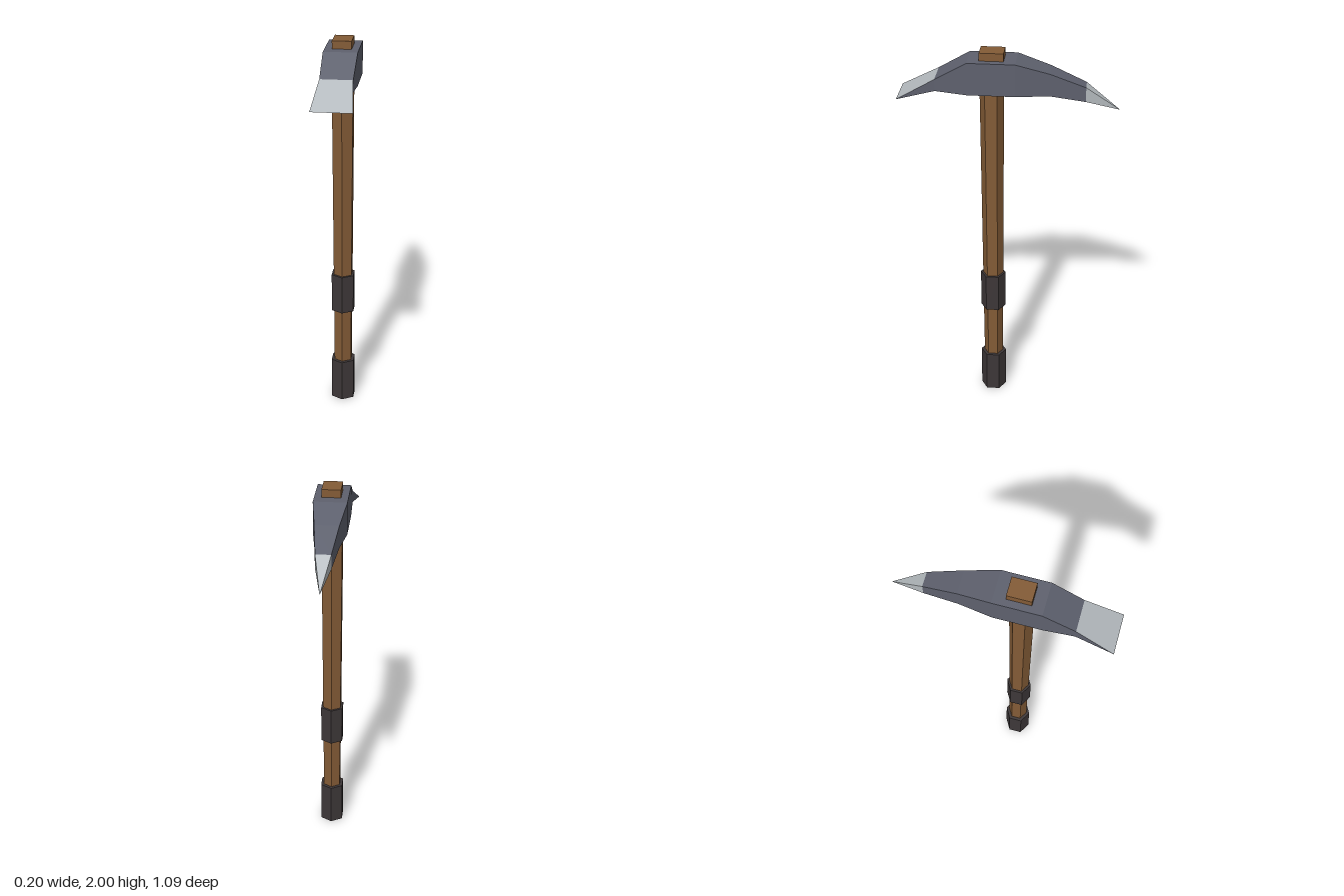
import * as THREE from 'three';

const material = (name, color) => {
  const m = new THREE.MeshStandardMaterial({ color });
  m.name = name;
  return m;
};

// Gives every face its own normal for a faceted look
function faceted(geometry) {
  const g = geometry.index ? geometry.toNonIndexed() : geometry;
  g.computeVertexNormals();
  return g;
}

// Closed strip of rectangular sections [z, bottom, top, halfWidth], front to back.
// pick(segment, side) gives the material index; sides: 0 right, 1 bottom, 2 left, 3 top.
function headGeometry(sections, pick) {
  const rings = sections.map(([z, lo, hi, w]) => [
    new THREE.Vector3(-w, hi, z), new THREE.Vector3(-w, lo, z),
    new THREE.Vector3(w, lo, z), new THREE.Vector3(w, hi, z)
  ]);
  const points = [];
  const g = new THREE.BufferGeometry();
  for (let i = 0; i < rings.length - 1; i++) {
    for (let j = 0; j < 4; j++) {
      const k = (j + 1) % 4;
      const A = rings[i], B = rings[i + 1];
      const start = points.length;
      for (const tri of [[A[j], B[j], B[k]], [A[j], B[k], A[k]]]) {
        if (new THREE.Triangle(...tri).getArea() > 1e-7) points.push(...tri);
      }
      g.addGroup(start, points.length - start, pick(i, j));
    }
  }
  g.setFromPoints(points);
  return faceted(g);
}

export function createModel() {
  const wood = material('wood', 0x835b36);
  const grip = material('dark grip', 0x3d3738);
  const iron = material('dark iron', 0x5e616e);
  const steel = material('sharpened steel', 0xb4babe);

  const model = new THREE.Group();
  model.name = 'pickaxe';
  const handleZ = 0.086;

  const add = (name, geometry, mat, y = 0, z = 0) => {
    const mesh = new THREE.Mesh(geometry, mat);
    mesh.name = name;
    mesh.position.set(0, y, z);
    model.add(mesh);
  };
  // Six-sided post between two heights
  const post = (name, bottom, top, rBottom, rTop, mat) => add(name,
    faceted(new THREE.CylinderGeometry(rTop, rBottom, top - bottom, 6)),
    mat, (bottom + top) / 2, handleZ);

  // Tapered shaft, its end showing under the butt grip
  post('shaft', 0, 1.85, 0.049, 0.061, wood);
  post('buttGrip', 0.003, 0.232, 0.068, 0.068, grip);
  post('middleGrip', 0.532, 0.741, 0.066, 0.066, grip);

  // Square shaft end standing out of the head
  add('shaftTop', new THREE.BoxGeometry(0.096, 0.2, 0.12), wood, 1.9, 0.083);

  // Head from the flared chisel edge to the pick point
  const sections = [
    [0.547, 1.768, 1.768, 0.101],
    [0.358, 1.81, 1.87, 0.08],
    [0.2, 1.795, 1.96, 0.084],
    [-0.036, 1.795, 1.96, 0.084],
    [-0.203, 1.795, 1.909, 0.06],
    [-0.378, 1.763, 1.837, 0.038],
    [-0.547, 1.712, 1.712, 0]
  ];
  const bright = (i, j) => (i === 5 || (i === 0 && j % 2 === 1)) ? 1 : 0;
  add('head', headGeometry(sections, bright), [iron, steel]);

  return model;
}
